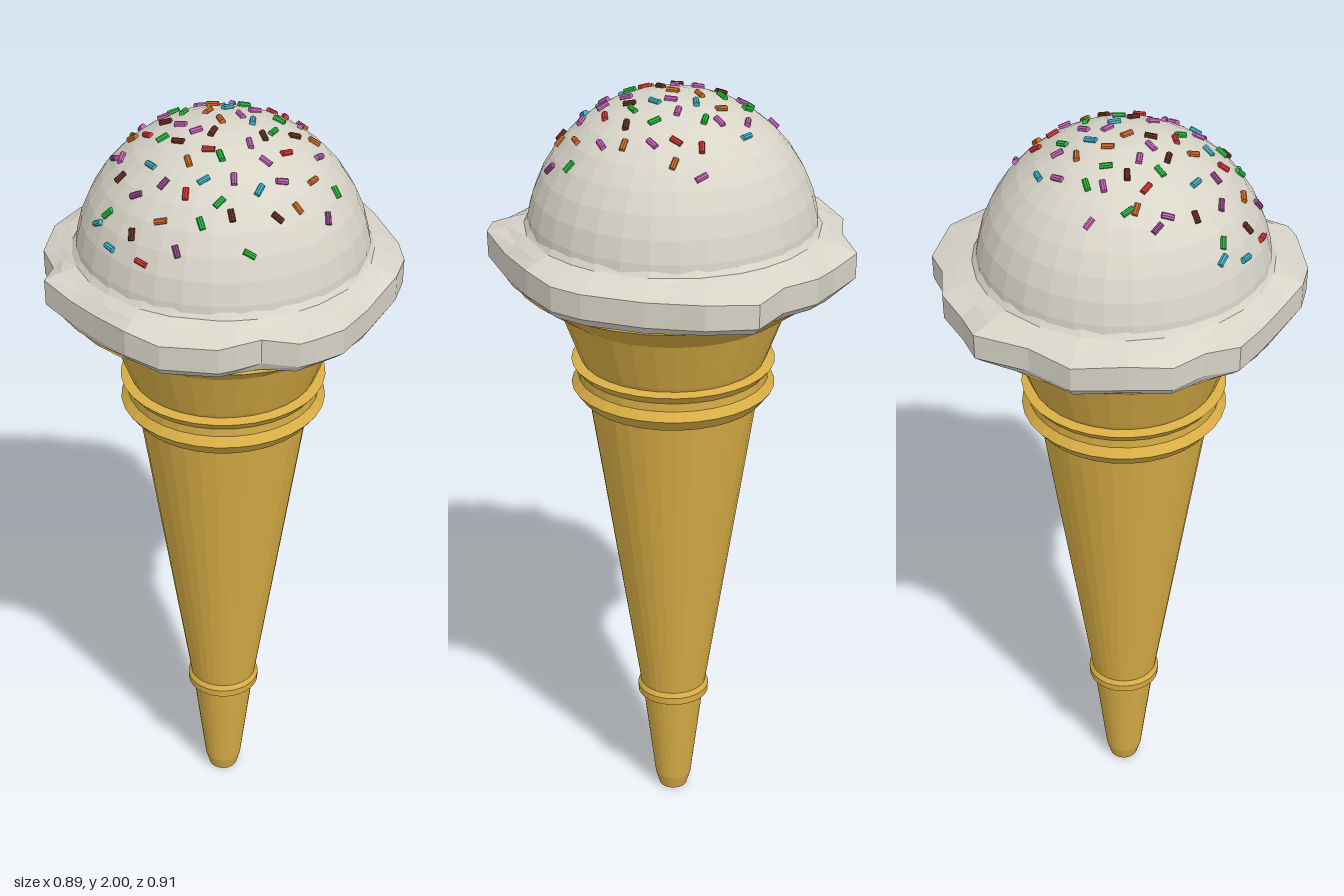
import * as THREE from 'three';

const material = (color) => new THREE.MeshStandardMaterial({ color, flatShading: true });
const DOME_Y = 1.63, DOME_R = 0.365;

function lathe(name, profile, mat) {
  const points = profile.map(([r, y]) => new THREE.Vector2(r, y));
  const mesh = new THREE.Mesh(new THREE.LatheGeometry(points, 32), mat);
  mesh.name = name;
  return mesh;
}

// Ragged overhanging lip: rim given as [angle in degrees, radius], 0 = +x, 90 = +z
const RIM = [
  [-2, 0.446], [11, 0.437], [32, 0.427], [48, 0.465], [57, 0.462], [62, 0.45], [73, 0.412],
  [82, 0.447], [87, 0.453], [105, 0.452], [117, 0.444], [133, 0.418], [145, 0.425],
  [158, 0.454], [168, 0.419], [180, 0.446], [194, 0.445], [211, 0.45], [227, 0.423],
  [244, 0.47], [256, 0.444], [268, 0.458], [281, 0.445], [292, 0.479], [308, 0.474],
  [326, 0.443], [347, 0.442],
];

function lipGeometry() {
  // Cross-section from underside to dome: radius = mix(fixed, rim, blend), height, waviness
  const section = [
    [0.37, 0, 1.545, 0], [0.37, 0.72, 1.538, 0.008], [0.37, 0.98, 1.56, 0.006],
    [0.37, 1, 1.625, 0.008], [0.37, 0.5, 1.643, 0.004], [0.372, 0, 1.657, 0], [0.352, 0, 1.685, 0],
  ];
  const n = RIM.length, positions = [], index = [];
  section.forEach(([fixed, blend, y, wave], i) => {
    RIM.forEach(([deg, rim], j) => {
      const a = THREE.MathUtils.degToRad(deg);
      const r = fixed + (rim - fixed) * blend;
      positions.push(r * Math.cos(a), y + wave * Math.sin(a * 5 + j), r * Math.sin(a));
      if (i + 1 === section.length) return;
      const p = i * n + j, q = i * n + (j + 1) % n;
      index.push(p, p + n, q, q, p + n, q + n);
    });
  });
  const geometry = new THREE.BufferGeometry();
  geometry.setAttribute('position', new THREE.Float32BufferAttribute(positions, 3));
  geometry.setIndex(index);
  geometry.computeVertexNormals();
  return geometry;
}

// Sprinkle places on the dome as [x, z], grouped by colour
const SPRINKLES = [
  ['pink', 0xc25fb5, [[0.15, -0.23], [-0.07, -0.18], [0.01, -0.16], [-0.21, -0.14], [-0.15, -0.09],
    [0.07, -0.08], [0.18, -0.1], [0.04, -0.03], [-0.1, 0.01], [-0.06, 0.05], [-0.24, 0.04],
    [0.07, 0.09], [0.11, 0.13], [0.15, 0.165], [0.23, 0.02], [0.04, 0.195]]],
  ['purple', 0x93458a, [[-0.26, 0.01], [-0.19, 0.185], [-0.125, 0.19], [-0.085, 0.31], [0.26, 0.165]]],
  ['green', 0x27b53c, [[-0.13, -0.125], [0.04, -0.14], [-0.1, -0.07], [-0.22, -0.05], [0.13, -0.06],
    [-0.14, 0.05], [0.12, 0.02], [0.005, 0.14], [0.275, 0.085], [-0.26, 0.17], [0.01, 0.245],
    [-0.03, 0.28], [0.085, 0.31]]],
  ['blue', 0x3bb0c4, [[-0.025, -0.215], [0.005, -0.08], [0.07, -0.005], [-0.16, 0.13], [-0.285, 0.162],
    [-0.03, 0.2], [0.1, 0.205], [-0.25, 0.23]]],
  ['orange', 0xcc6a2c, [[-0.035, -0.125], [0.18, -0.17], [-0.04, -0.05], [-0.005, 0.005], [-0.22, -0.03],
    [0.215, -0.04], [0.22, 0.115], [-0.07, 0.15], [0.19, 0.2], [-0.125, 0.26]]],
  ['red', 0xcf3434, [[0.105, -0.19], [0.14, -0.14], [-0.18, 0.005], [-0.025, 0.12], [0.155, 0.08],
    [-0.07, 0.225], [-0.17, 0.295]]],
  ['brown', 0x63301f, [[-0.14, -0.03], [0.17, -0.005], [-0.02, 0.06], [0.1, 0.05], [-0.1, 0.08],
    [-0.235, 0.11], [-0.195, 0.25], [0.04, 0.265], [0.145, 0.24]]],
];

export function createModel() {
  const model = new THREE.Group();
  const wafer = material(0xd9ae45), cream = material(0xd8d4c8);

  // Wafer cone with its small lower ring, double upper ring and flared cup
  model.add(lathe('cone', [
    [0, 0], [0.037, 0], [0.048, 0.037], [0.08, 0.298], [0.094, 0.305], [0.095, 0.325], [0.087, 0.337],
    [0.217, 1.19], [0.235, 1.195], [0.26, 1.228], [0.243, 1.25], [0.243, 1.272], [0.26, 1.294],
    [0.235, 1.3], [0.24, 1.31], [0.29, 1.444], [0.4, 1.525], [0.39, 1.55],
  ], wafer));

  // Scoop dome
  const dome = [[DOME_R, 1.58]];
  for (let i = 0; i <= 10; i++) {
    const a = (i / 10) * Math.PI / 2;
    dome.push([i === 10 ? 0 : DOME_R * Math.cos(a), DOME_Y + DOME_R * Math.sin(a)]);
  }
  model.add(lathe('scoop', dome, cream));

  const lip = new THREE.Mesh(lipGeometry(), cream);
  lip.name = 'scoopLip';
  model.add(lip);

  // Sprinkles lying along the dome, each turned about the surface normal
  const sprinkles = new THREE.Group();
  sprinkles.name = 'sprinkles';
  const stick = new THREE.CylinderGeometry(0.0075, 0.0075, 0.03, 8);
  const up = new THREE.Vector3(0, 1, 0);
  let count = 0;
  for (const [colorName, color, places] of SPRINKLES) {
    const mat = material(color);
    for (const [x, z] of places) {
      const normal = new THREE.Vector3(x, Math.sqrt(DOME_R ** 2 - x * x - z * z), z).normalize();
      const mesh = new THREE.Mesh(stick, mat);
      mesh.name = `${colorName}Sprinkle`;
      mesh.position.copy(normal).multiplyScalar(DOME_R + 0.002);
      mesh.position.y += DOME_Y;
      const turn = (count++ * 2.4) % Math.PI;
      const direction = new THREE.Vector3(Math.cos(turn), 0, Math.sin(turn));
      direction.addScaledVector(normal, -direction.dot(normal)).normalize();
      mesh.quaternion.setFromUnitVectors(up, direction);
      sprinkles.add(mesh);
    }
  }
  model.add(sprinkles);
  return model;
}
